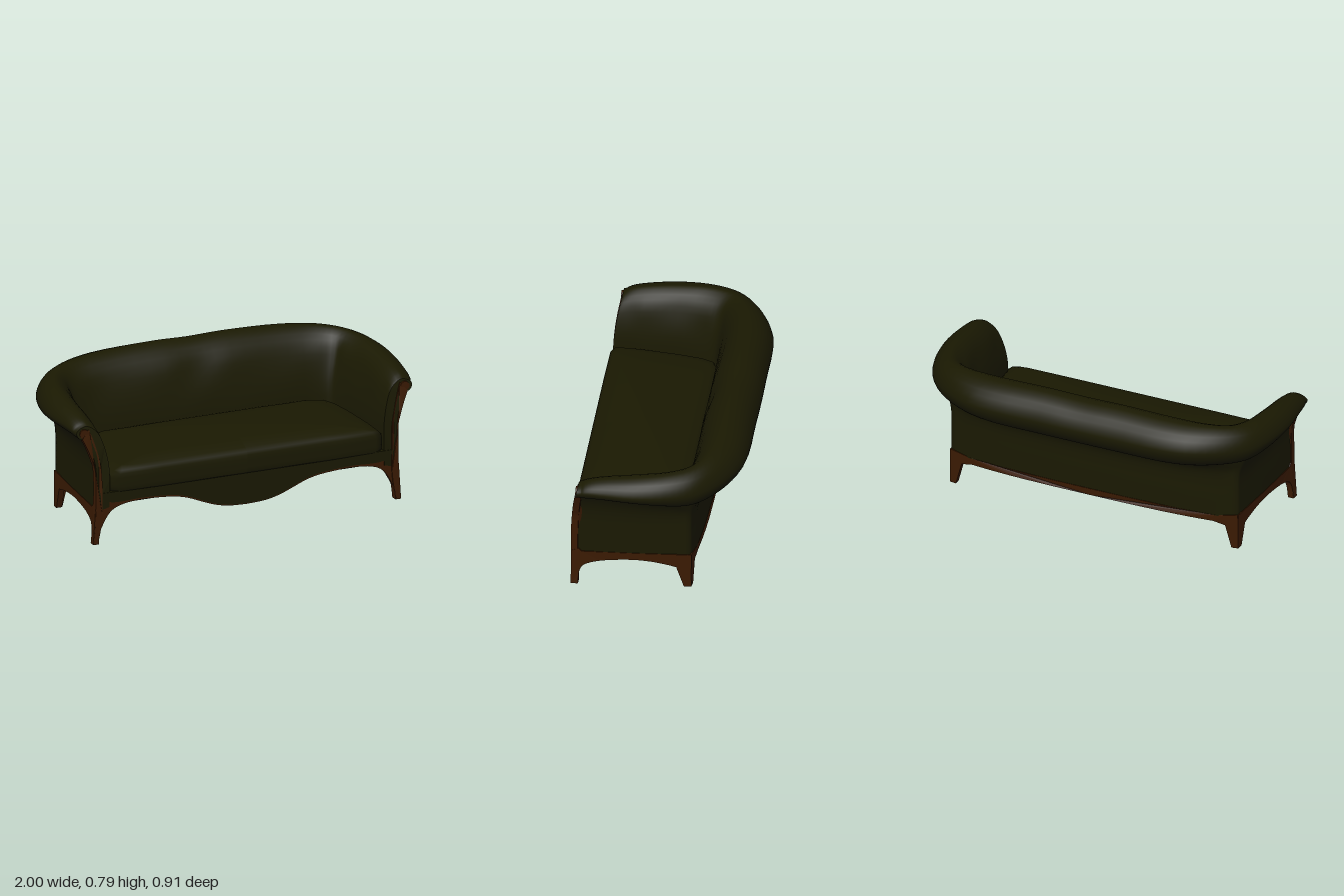
import * as THREE from 'three';

const fabric = new THREE.MeshStandardMaterial({ color: 0x1a1902 });
fabric.name = 'olive fabric';
fabric.side = THREE.DoubleSide;
const wood = new THREE.MeshStandardMaterial({ color: 0x3a1a02 });
wood.name = 'brown wood';

const V2 = (p) => new THREE.Vector2(p[0], p[1]);
const spline = (pts, n = 30) => new THREE.SplineCurve(pts.map(V2)).getPoints(n);
const clamp = THREE.MathUtils.clamp;

// The arm fronts lean back towards the top.
const frontZ = (y) => 0.442 - 0.042 * clamp((y - 0.3) / 0.355, 0, 1) ** 2;

function addMesh(group, name, geo, mat) {
  const mesh = new THREE.Mesh(geo, mat);
  mesh.name = name;
  group.add(mesh);
}

// Extrude an outline, then move every vertex by a rule (x, y, depth) -> [x, y, z].
function warpedExtrude(points, depth, rule) {
  const geo = new THREE.ExtrudeGeometry(new THREE.Shape(points), { depth, bevelEnabled: false });
  const p = geo.attributes.position;
  for (let i = 0; i < p.count; i++) p.setXYZ(i, ...rule(p.getX(i), p.getY(i), p.getZ(i)));
  geo.computeVertexNormals();
  return geo;
}

// Copy reflected in x, with the corner order put right.
function mirrored(geo) {
  const g = geo.index ? geo.toNonIndexed() : geo.clone();
  g.scale(-1, 1, 1);
  const p = g.attributes.position, a = new THREE.Vector3(), b = new THREE.Vector3();
  for (let i = 0; i < p.count; i += 3) {
    a.fromBufferAttribute(p, i + 1);
    b.fromBufferAttribute(p, i + 2);
    p.setXYZ(i + 1, b.x, b.y, b.z);
    p.setXYZ(i + 2, a.x, a.y, a.z);
  }
  g.computeVertexNormals();
  return g;
}

function gridGeometry(rows) {
  const w = rows[0].length, pos = [], idx = [];
  rows.forEach((r) => r.forEach((v) => pos.push(v.x, v.y, v.z)));
  for (let i = 0; i < rows.length - 1; i++) for (let j = 0; j < w - 1; j++) {
    const a = i * w + j, b = a + 1, c = a + w, d = c + 1;
    idx.push(a, b, c, b, d, c);
  }
  const g = new THREE.BufferGeometry();
  g.setAttribute('position', new THREE.Float32BufferAttribute(pos, 3));
  g.setIndex(idx);
  g.computeVertexNormals();
  return g;
}

// Stations from arm front to back centre:
// inner foot x,z | crest x,z,y | roll edge x,z,y | roll underside x,z,y | outer wall x,z
const stations = [
  [.79, .43, .90, .40, .655, .965, .39, .625, .93, .40, .587, .865, .44],
  [.787, .37, .90, .362, .677, .975, .36, .635, .93, .36, .588, .863, .37],
  [.78, .28, .90, .28, .70, .987, .28, .64, .93, .28, .59, .86, .28],
  [.765, .1, .895, .08, .727, 1.0, .1, .642, .93, .1, .583, .85, .1],
  [.745, -.05, .87, -.08, .742, .975, -.09, .645, .91, -.07, .565, .838, -.08],
  [.725, -.11, .81, -.20, .752, .915, -.23, .645, .87, -.18, .552, .83, -.183],
  [.66, -.13, .70, -.265, .765, .78, -.355, .65, .74, -.27, .545, .72, -.205],
  [.5, -.135, .52, -.30, .775, .58, -.44, .655, .55, -.33, .54, .5, -.222],
  [.2, -.135, .2, -.31, .785, .2, -.453, .655, .2, -.335, .536, .2, -.23],
];
const centre = [0, -.135, 0, -.31, .78, 0, -.455, .655, 0, -.335, .536, 0, -.23];

// Control points of one cross-section, from the inner foot over the roll to the outer wall.
function section(s, side) {
  const P = (x, z, y) => new THREE.Vector3(x * side, y, z);
  const I = P(s[0], s[1], .42), T = P(s[2], s[3], s[4]), E = P(s[5], s[6], s[7]);
  const B = P(s[8], s[9], s[10]);
  const mix = (a, b, k, ky) => {
    const v = a.clone().lerp(b, k);
    v.y = a.y + (b.y - a.y) * ky;
    return v;
  };
  const O = P(s[11], s[12], .4);
  return [
    P(s[0], s[1], .2), I, mix(I, T, .2, .5), mix(I, T, .5, .83), T,
    mix(T, E, .68, .3), E, mix(E, B, .18, .55), mix(E, B, .58, .92), B,
    mix(O, B, .5, .74), mix(O, B, .15, .4), O, P(s[11], s[12], .3), P(s[11], s[12], .18),
  ];
}

function backAndArms(group) {
  const controls = [
    ...stations.map((s) => section(s, 1)), section(centre, 1),
    ...stations.slice().reverse().map((s) => section(s, -1)),
  ];
  const steps = (controls.length - 1) * 4, across = 42;
  const columns = controls[0].map((_, c) => new THREE.CatmullRomCurve3(controls.map((s) => s[c])));
  const rows = [];
  for (let i = 0; i <= steps; i++) {
    const u = i / steps;
    const pts = columns.map((col, c) => {
      if (c < 11) return col.getPoint(u);
      // The outer wall keeps a crisp corner
      const k = Math.min(Math.floor(i / 4), controls.length - 2);
      return controls[k][c].clone().lerp(controls[k + 1][c], i / 4 - k);
    });
    const row = new THREE.CatmullRomCurve3(pts).getPoints(across);
    // Soft tufting on the inner face
    for (let j = 4; j < 12; j++) {
      const v = (j - 3) / 9;
      const d = 0.007 * Math.sin(v * Math.PI) * Math.sin(u * Math.PI)
        * Math.cos(u * Math.PI * 18) * Math.cos(v * Math.PI * 2);
      const out = row[j].clone().setY(0).normalize();
      row[j].addScaledVector(out, d);
    }
    if (i === 0 || i === steps) row.forEach((v) => { v.z = frontZ(v.y); });
    rows.push(row);
  }
  addMesh(group, 'backAndArms', gridGeometry(rows), fabric);

  // Flat closing faces at the arm fronts
  const cap = new THREE.ShapeGeometry(new THREE.Shape(rows[0].map((v) => new THREE.Vector2(v.x, v.y))));
  const p = cap.attributes.position;
  for (let i = 0; i < p.count; i++) p.setZ(i, frontZ(p.getY(i)));
  cap.computeVertexNormals();
  addMesh(group, 'leftArmFront', cap, fabric);
  addMesh(group, 'rightArmFront', mirrored(cap), fabric);
}

function cushion(group) {
  const half = [[0, .452], [.5, .452], [.74, .45], [.782, .43], [.779, .3], [.757, .08],
    [.735, -.05], [.71, -.11], [.65, -.135], [.4, -.142], [0, -.142]];
  const outline = [...half, ...half.slice(1, -1).reverse().map(([x, z]) => [-x, z]), half[0]];
  const levels = [[0, .27], [.975, .275], [.995, .285], [1, .31], [1, .355], [.992, .378],
    [.97, .395], [.9, .412], [.7, .434], [.35, .447], [0, .452]];
  const rows = levels.map(([s, y]) => outline.map(([x, z]) =>
    new THREE.Vector3(x * s, y, .155 + (z - .155) * s)));
  addMesh(group, 'seatCushion', gridGeometry(rows), fabric);
}

function frontApron(group) {
  const panel = (edge, top, z, depth) => {
    const right = spline(edge, 32);
    const left = right.slice(1).reverse().map((v) => new THREE.Vector2(-v.x, v.y));
    const x = edge[edge.length - 1][0];
    return warpedExtrude([...left, ...right, V2([x, top]), V2([-x, top])], depth,
      (px, py, d) => [px, py, z + d]);
  };
  addMesh(group, 'frontTrim', panel([[0, .1], [.1, .105], [.18, .122], [.25, .148], [.35, .188],
    [.45, .207], [.6, .215], [.72, .203], [.79, .165], [.84, .08]], .26, .415, .025), wood);
  addMesh(group, 'frontPanel', panel([[0, .106], [.1, .111], [.18, .129], [.25, .156], [.35, .197],
    [.45, .217], [.6, .226], [.72, .222], [.79, .228], [.835, .26]], .282, .4, .045), fabric);
}

function woodFrame(group) {
  const pair = (name, geo) => {
    addMesh(group, 'left' + name, geo, wood);
    addMesh(group, 'right' + name, mirrored(geo), wood);
  };

  // Front post sweeping from the foot up to the arm
  const outer = spline([[.885, 0], [.874, .1], [.871, .2], [.871, .4], [.885, .465], [.908, .53], [.935, .59]], 24);
  const inner = spline([[.895, .64], [.874, .58], [.852, .5], [.836, .4], [.832, .2], [.842, .08], [.86, 0]], 24);
  pair('FrontPost', warpedExtrude([...outer, ...inner], .036,
    (x, y, d) => [x, y, frontZ(y) - .032 + d]));

  // Small scroll at the top of the post
  const scroll = new THREE.CylinderGeometry(.026, .026, .024, 18);
  scroll.rotateX(Math.PI / 2).translate(.922, .617, .401);
  pair('Scroll', scroll);

  // Side rail with the front and back leg profiles
  const arch = spline([[-.11, .12], [-.05, .135], [.03, .149], [.13, .155], [.25, .147], [.33, .133],
    [.38, .112], [.4, .08], [.406, .04], [.407, 0]], 28);
  const side = [V2([-.19, 0]), V2([-.15, 0]), ...arch, V2([.445, 0]), V2([.445, .2]), V2([.405, .215]),
    V2([.39, .197]), V2([.1, .197]), V2([-.187, .2])];
  pair('SideRail', warpedExtrude(side, .032, (z, y, d) => [
    .836 + .036 * (z + .19) / .63 + (z > .3 ? .013 * clamp(1 - y / .15, 0, 1) : 0) - d, y, z]));

  // Back rail with the back faces of the rear legs
  const xs = [0, .2, .4, .5, .6, .7];
  const low = [...xs.map((x) => [x, .145]), [.765, .13], [.8, 0], [.836, 0]];
  const high = [[.834, .2], [.76, .19], ...xs.slice().reverse().map((x) => [x, .183])];
  pair('BackRail', warpedExtrude([...low, ...high].map(V2), .036,
    (x, y, d) => [x, y, -.233 + .043 * (x / .83) ** 3 + d]));
}

function seatBase(group) {
  const plan = [[-.84, .42], [-.81, -.165], [-.5, -.195], [.5, -.195], [.81, -.165], [.84, .42]];
  addMesh(group, 'seatBase', warpedExtrude(plan.map(V2).reverse(), .075,
    (x, z, d) => [x, .28 - d, z]), fabric);
  // Fabric lining inside the back rail
  const lining = new THREE.BoxGeometry(1.52, .055, .02);
  addMesh(group, 'backLining', lining.translate(0, .1795, -.18), fabric);
  // Thin board under the seat
  const board = new THREE.CylinderGeometry(1, 1, .008, 32);
  board.scale(.72, 1, .2).translate(0, .204, .04);
  addMesh(group, 'underBoard', board, wood);
}

export function createModel() {
  const sofa = new THREE.Group();
  sofa.name = 'sofa';
  backAndArms(sofa);
  cushion(sofa);
  frontApron(sofa);
  woodFrame(sofa);
  seatBase(sofa);
  return sofa;
}
